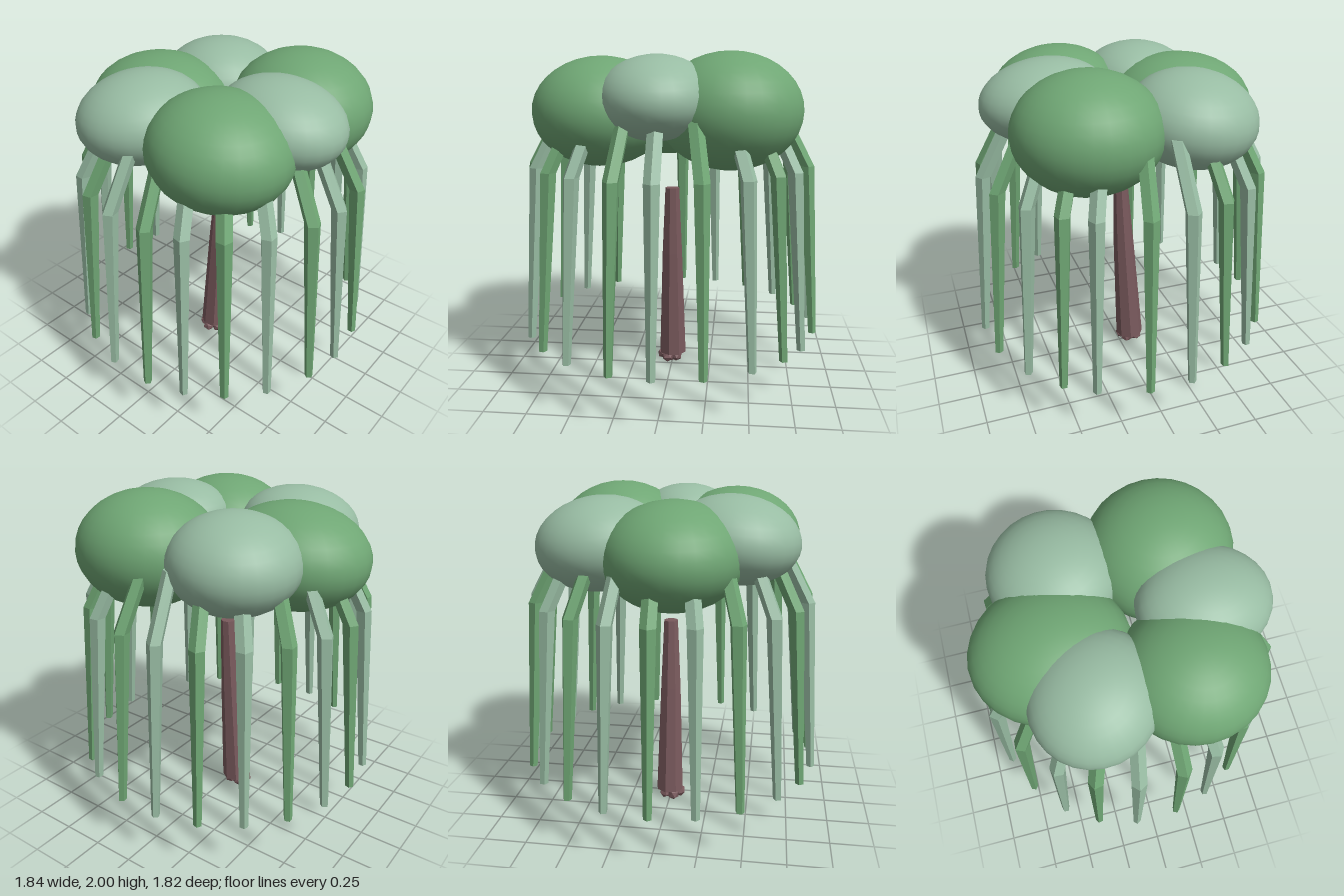
import * as THREE from 'three';

const darkLeaf = new THREE.MeshStandardMaterial({ color: 0x6fa674 });
darkLeaf.name = 'darkLeaf';
const lightLeaf = new THREE.MeshStandardMaterial({ color: 0x98bca3 });
lightLeaf.name = 'lightLeaf';
const bark = new THREE.MeshStandardMaterial({ color: 0x7a5a5d });
bark.name = 'bark';

// Lofts horizontal rings [x, y, z, radius], listed from bottom to top, into a closed faceted limb
function limb(rings, sides, turn = 0) {
  const pos = [];
  const idx = [];
  for (const [x, y, z, r] of rings) {
    for (let i = 0; i < sides; i++) {
      const a = turn + (i / sides) * Math.PI * 2;
      pos.push(x + r * Math.cos(a), y, z + r * Math.sin(a));
    }
  }
  const last = (rings.length - 1) * sides;
  for (let i = 0; i < sides; i++) {
    const n = (i + 1) % sides;
    for (let j = 0; j < last; j += sides) {
      idx.push(j + i, j + sides + i, j + n, j + n, j + sides + i, j + sides + n);
    }
    if (i > 0 && n > 0) idx.push(0, i, n, last, last + n, last + i);
  }
  const indexed = new THREE.BufferGeometry();
  indexed.setAttribute('position', new THREE.Float32BufferAttribute(pos, 3));
  indexed.setIndex(idx);
  const geo = indexed.toNonIndexed();
  geo.computeVertexNormals();
  return geo;
}

export function createModel() {
  const tree = new THREE.Group();
  tree.name = 'weepingTree';
  const add = (name, geo, mat, parent = tree) => {
    const mesh = new THREE.Mesh(geo, mat);
    mesh.name = name;
    parent.add(mesh);
    return mesh;
  };

  // Leaning trunk
  add('trunk', limb([
    [-0.07, 0.06, -0.003, 0.088],
    [-0.028, 0.75, -0.003, 0.065],
    [-0.005, 1.175, -0.005, 0.045],
  ], 8, 0.2), bark);

  // Ring of small lumps at the foot of the trunk
  const roots = new THREE.Group();
  roots.name = 'roots';
  tree.add(roots);
  for (let i = 0; i < 5; i++) {
    const a = (i / 5) * Math.PI * 2 + 0.3;
    const lump = add('root', new THREE.IcosahedronGeometry(0.038, 0), bark, roots);
    lump.position.set(-0.073 + 0.055 * Math.cos(a), 0.038, 0.012 + 0.05 * Math.sin(a));
    lump.rotation.set(i * 1.3, i * 0.7, 0);
  }
  add('rootCore', new THREE.CylinderGeometry(0.06, 0.03, 0.07, 8), bark, roots).position.set(-0.073, 0.035, 0.005);

  // Six overlapping crown puffs: centre, radii, heading, outward droop
  const crown = new THREE.Group();
  crown.name = 'crown';
  tree.add(crown);
  const puffs = [
    [0.3, 1.67, -0.36, 0.42, 0.33, 0.41, 0, 0, darkLeaf],
    [-0.295, 1.685, -0.36, 0.375, 0.265, 0.37, -2.28, 0.12, lightLeaf],
    [-0.41, 1.64, 0.07, 0.445, 0.3, 0.4, Math.PI, 0.05, darkLeaf],
    [-0.25, 1.715, 0.395, 0.37, 0.245, 0.35, 2.1, 0.12, lightLeaf],
    [0.285, 1.665, 0.37, 0.41, 0.308, 0.395, 0, 0.08, darkLeaf],
    [0.435, 1.75, 0.04, 0.375, 0.23, 0.32, 0, 0.1, lightLeaf],
  ];
  const puffShape = new THREE.SphereGeometry(1, 28, 18);
  for (const [x, y, z, rx, ry, rz, heading, droop, mat] of puffs) {
    const puff = add('crownPuff', puffShape, mat, crown);
    puff.position.set(x, y, z);
    puff.rotation.set(0, -heading, -droop);
    puff.scale.set(rx, ry, rz);
  }

  // Hanging fronds around the crown, bent near the top, in alternating greens
  const fronds = new THREE.Group();
  fronds.name = 'fronds';
  tree.add(fronds);
  const count = 22;
  const nudge = { 0: 0.02, 2: 0.035, 3: 0.025, 5: -0.025, 8: -0.015, 18: 0.045, 19: -0.02, 20: -0.035 };
  for (let k = 0; k < count; k++) {
    const a = (k / count) * Math.PI * 2 + (nudge[k] ?? 0);
    const at = (r, y, w) => [r * Math.cos(a), y, r * Math.sin(a), w];
    const geo = limb([at(0.895, 0.305, 0.025), at(0.82, 1.34, 0.046), at(0.64, 1.68, 0.044)], 5, a);
    add('frond', geo, k % 2 ? darkLeaf : lightLeaf, fronds);
  }
  return tree;
}
